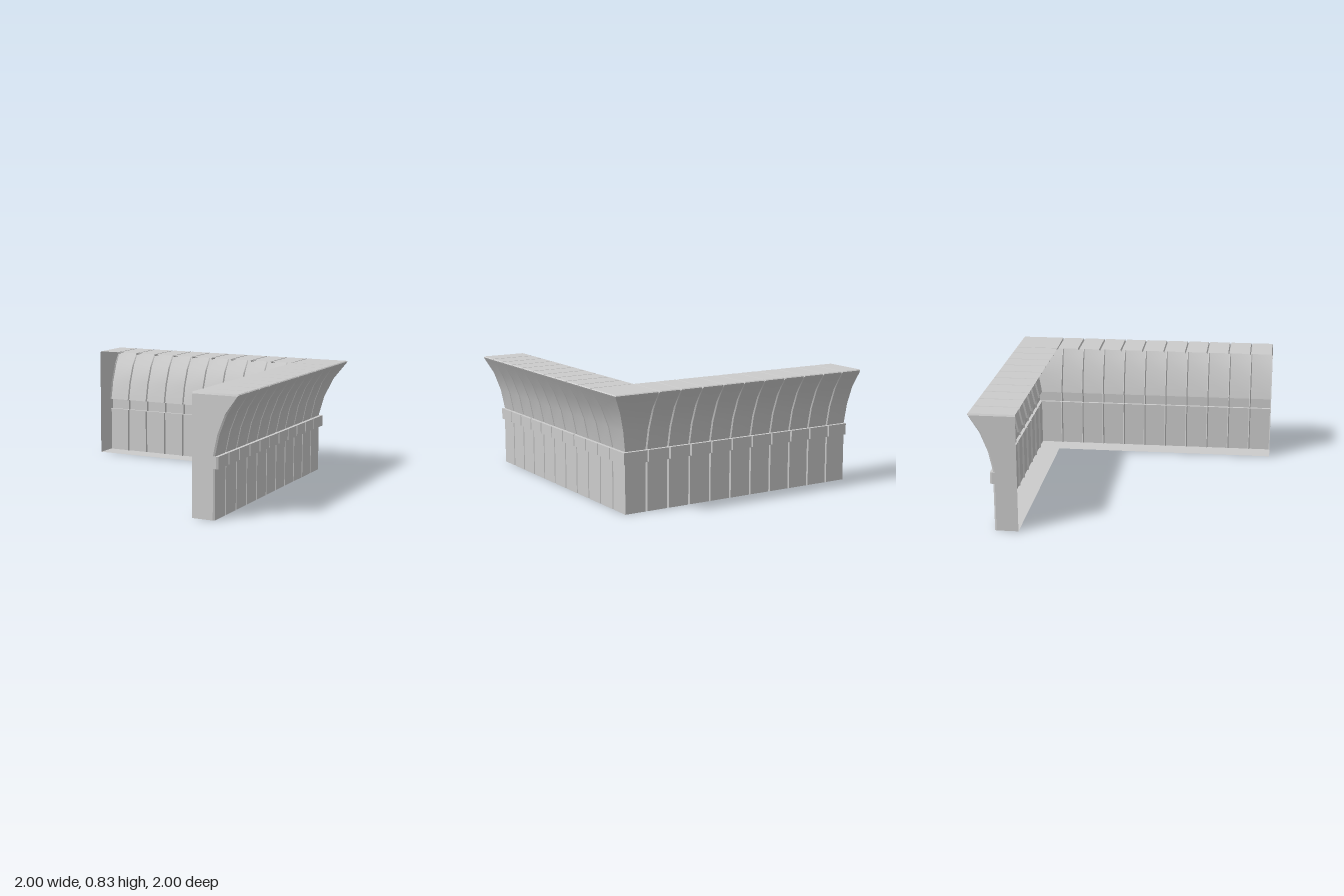
import * as THREE from 'three';
import { toCreasedNormals } from 'three/addons/utils/BufferGeometryUtils.js';

const material = new THREE.MeshStandardMaterial({ color: 0xcccccc, side: THREE.DoubleSide });

// Cross-section as [distance outward, height], from inner bottom edge to inner top edge
const INNER = 0.675, TOP = 0.832;
const PROFILE = [
  [INNER, 0], [0.838, 0], [0.838, 0.34], [0.86, 0.34], [0.86, 0.42], [0.836, 0.42],
  [0.867, 0.565], [0.92, 0.7], [0.994, 0.815], [1, 0.826], [0.993, TOP], [INNER, TOP],
];
const PANELS = 10, PITCH = 0.1675;
const BEVEL = 0.007, DEPTH = 0.012;

// Section sunk into the grooves between panels
const SUNK = PROFILE.map(([u, y]) => [
  u === INNER ? u : u - DEPTH,
  y > 0.81 ? y - DEPTH : y,
]);

// Positions along the arm (t), outward (u) and up (y) for the two mirrored arms
const backPlace = (t, u, y) => [t, y, -u];
const sidePlace = (t, u, y) => [u, y, -t];

function makeMesh(name, points, triangles, flip) {
  const geometry = new THREE.BufferGeometry();
  geometry.setAttribute('position', new THREE.Float32BufferAttribute(points.flat(), 3));
  geometry.setIndex(triangles.flatMap(([a, b, c]) => (flip ? [a, c, b] : [a, b, c])));
  const mesh = new THREE.Mesh(toCreasedNormals(geometry, 0.6), material);
  mesh.name = name;
  return mesh;
}

// Skin through a row of sections, each a list of [t, u, y]
function skin(name, sections, place, flip) {
  const n = PROFILE.length;
  const points = sections.flat().map((p) => place(...p));
  const triangles = [];
  for (let s = 0; s < sections.length - 1; s++) {
    for (let k = 0; k < n - 1; k++) {
      const a = s * n + k, b = a + n;
      triangles.push([a, a + 1, b + 1], [a, b + 1, b]);
    }
  }
  return makeMesh(name, points, triangles, flip);
}

const at = (t, section) => section.map(([u, y]) => [t, u, y]);

function createArm(name, place, flip) {
  const arm = new THREE.Group();
  arm.name = name;

  // Bevelled flared panels
  for (let i = 0; i < PANELS; i++) {
    const t0 = -1 + i * PITCH, t1 = t0 + PITCH;
    arm.add(skin('panel' + (i + 1), [
      at(t0, SUNK), at(t0 + BEVEL, PROFILE), at(t1 - BEVEL, PROFILE), at(t1, SUNK),
    ], place, flip));
  }

  // Half of the corner, cut on the mitre
  const start = -1 + PANELS * PITCH;
  arm.add(skin('cornerPanel', [
    at(start, SUNK),
    PROFILE.map(([u, y]) => [Math.min(start + BEVEL, u), u, y]),
    PROFILE.map(([u, y]) => [u, u, y]),
  ], place, flip));

  // Flat cap at the free end
  const outline = SUNK.map(([u, y]) => new THREE.Vector2(u, y));
  const faces = THREE.ShapeUtils.triangulateShape(outline, []);
  arm.add(makeMesh('endCap', at(-1, SUNK).map((p) => place(...p)), faces, !flip));
  return arm;
}

export function createModel() {
  const model = new THREE.Group();
  model.name = 'cornerCornice';
  model.add(createArm('backArm', backPlace, false));
  model.add(createArm('sideArm', sidePlace, true));
  return model;
}
